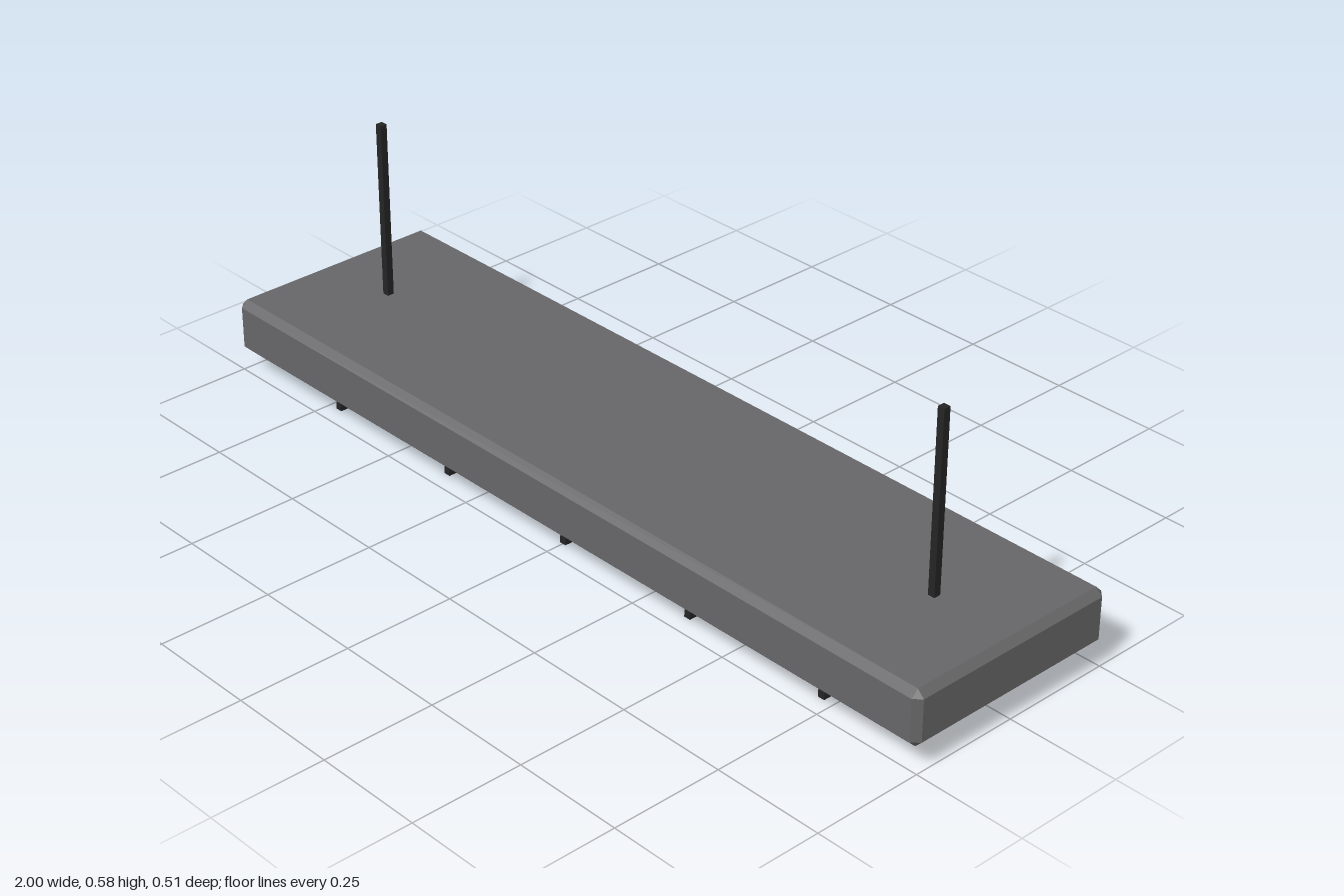
import * as THREE from 'three';
import { ConvexGeometry } from 'three/addons/geometries/ConvexGeometry.js';

const mat = (name, color) => new THREE.MeshStandardMaterial({ name, color });

// Box with every edge cut at 45 degrees, given by half sizes
function chamferedBox(hx, hy, hz, c) {
  const points = [];
  for (const x of [-1, 1]) for (const y of [-1, 1]) for (const z of [-1, 1]) {
    points.push(
      new THREE.Vector3(x * hx, y * (hy - c), z * (hz - c)),
      new THREE.Vector3(x * (hx - c), y * hy, z * (hz - c)),
      new THREE.Vector3(x * (hx - c), y * (hy - c), z * hz));
  }
  return new ConvexGeometry(points);
}

export function createModel() {
  const model = new THREE.Group();
  model.name = 'hangingLamp';
  const grey = mat('housing grey', 0x666668);
  const black = mat('black metal', 0x242425);
  const glass = mat('pale green glass', 0xc4d2c4);

  const add = (name, geometry, material, x, y, z) => {
    const mesh = new THREE.Mesh(geometry, material);
    mesh.name = name;
    mesh.position.set(x, y, z);
    model.add(mesh);
  };

  // Housing with the light panel below it
  add('housing', chamferedBox(1, 0.0625, 0.256, 0.0155), grey, 0, 0.1125, 0);
  add('lightPanel', new THREE.BoxGeometry(1.836, 0.036, 0.384), glass, 0, 0.034, 0);

  // Guard bars across the panel
  const bar = new THREE.BoxGeometry(0.016, 0.016, 0.416);
  for (let i = -2; i <= 2; i++) add('guardBar', bar, black, i * 0.36, 0.0085, 0);

  // Hanging rods
  const rod = new THREE.BoxGeometry(0.016, 0.405, 0.016);
  for (const s of [-1, 1]) add('hangingRod', rod, black, s * 0.8, 0.3745, 0);

  return model;
}
